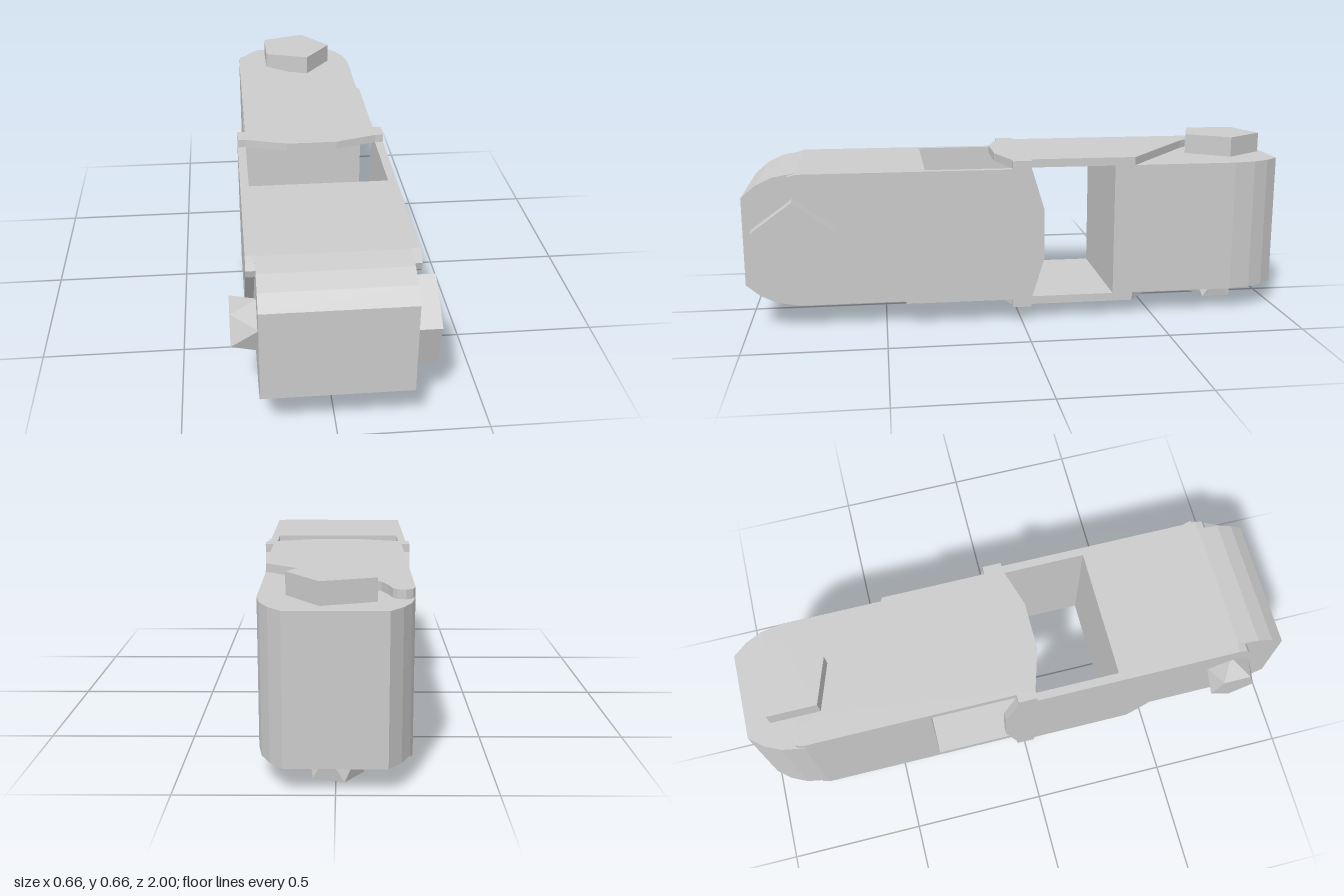
import * as THREE from 'three';
import { ConvexGeometry } from 'three/addons/geometries/ConvexGeometry.js';

const material = new THREE.MeshStandardMaterial({ color: 0xcccccc, flatShading: true, side: THREE.DoubleSide });
const HALF = 0.245;   // half width of the blocks
const OUTER = 0.275;  // outer face of the plates
const MID_Y = 0.33;   // height of the long axis

function add(parent, name, geometry) {
  const mesh = new THREE.Mesh(geometry, material);
  mesh.name = name;
  parent.add(mesh);
  return mesh;
}

// Extrudes an outline of [z, y] points along x, from x0 to x1
function slab(points, x0, x1) {
  const shape = new THREE.Shape(points.map(([z, y]) => new THREE.Vector2(z, y)));
  const geometry = new THREE.ExtrudeGeometry(shape, { depth: x1 - x0, bevelEnabled: false });
  return geometry.rotateY(-Math.PI / 2).translate(x1, 0, 0);
}

// Regular pentagon of [z, y] points with its apex up (dir 1) or down (dir -1)
function pentagon(z, radius, dir) {
  return Array.from({ length: 5 }, (_, i) => {
    const a = (i / 5) * Math.PI * 2;
    return [z + radius * Math.sin(a), dir * radius * Math.cos(a)];
  });
}

// One fork half: end block, two cheek plates, pin head and pin tip
function createHalf(name, side) {
  const half = new THREE.Group();
  half.name = name;

  // Block with rounded outer corners
  const corner = [[0.81, HALF], [0.89, 0.231], [0.95, 0.202], [1, 0.16]];
  const lower = corner.map(([z, y]) => [z, -y]).reverse();
  add(half, 'endBlock', slab([[0.35, HALF], ...corner, ...lower, [0.35, -HALF]], -HALF, HALF));

  // Cheek plates with a hooked diagonal edge and a bowed inner end
  const cheek = [
    [-0.035, -HALF], [0.425, -HALF], [0.70, 0.114], [0.73, 0.143], [0.78, 0.163], [0.825, 0.175],
    [0.84, 0.188], [0.848, 0.215], [0.835, 0.237], [0.805, HALF], [-0.035, HALF],
    [-0.082, 0.092], [-0.082, -0.092],
  ];
  add(half, 'cheekPlate', slab(cheek, HALF, OUTER));
  add(half, 'cheekPlate', slab(cheek, -OUTER, -HALF));

  // Pentagonal pin head on one face
  const span = side > 0 ? [0.252, 0.326] : [-0.326, -0.252];
  add(half, 'pinHead', slab(pentagon(0.82, 0.155, side), ...span));

  // Twisted pentagonal pin tip on the opposite face
  const ring = (x, dir) => pentagon(0.815, 0.09, dir).map(([z, y]) => new THREE.Vector3(x, y, z));
  add(half, 'pinTip', new ConvexGeometry([...ring(-side * 0.33, -side), ...ring(-side * 0.24, side)]));
  return half;
}

export function createModel() {
  const model = new THREE.Group();
  model.name = 'forkedJoint';
  const body = new THREE.Group();
  body.name = 'body';
  body.position.y = MID_Y;
  model.add(body);

  body.add(createHalf('frontHalf', 1));

  // Back half is turned end for end and a quarter turn about the long axis
  const back = createHalf('backHalf', -1);
  back.quaternion.setFromAxisAngle(new THREE.Vector3(1, -1, 0).normalize(), Math.PI);
  body.add(back);

  // Corner lugs joining the side plates to the top and bottom plates
  const size = OUTER - HALF;
  for (const sx of [-1, 1]) {
    for (const sy of [-1, 1]) {
      const lug = add(body, 'cornerLug', new THREE.BoxGeometry(size, size, 0.07));
      lug.position.set(sx * (HALF + size / 2), sy * (HALF + size / 2), 0);
    }
  }
  return model;
}
